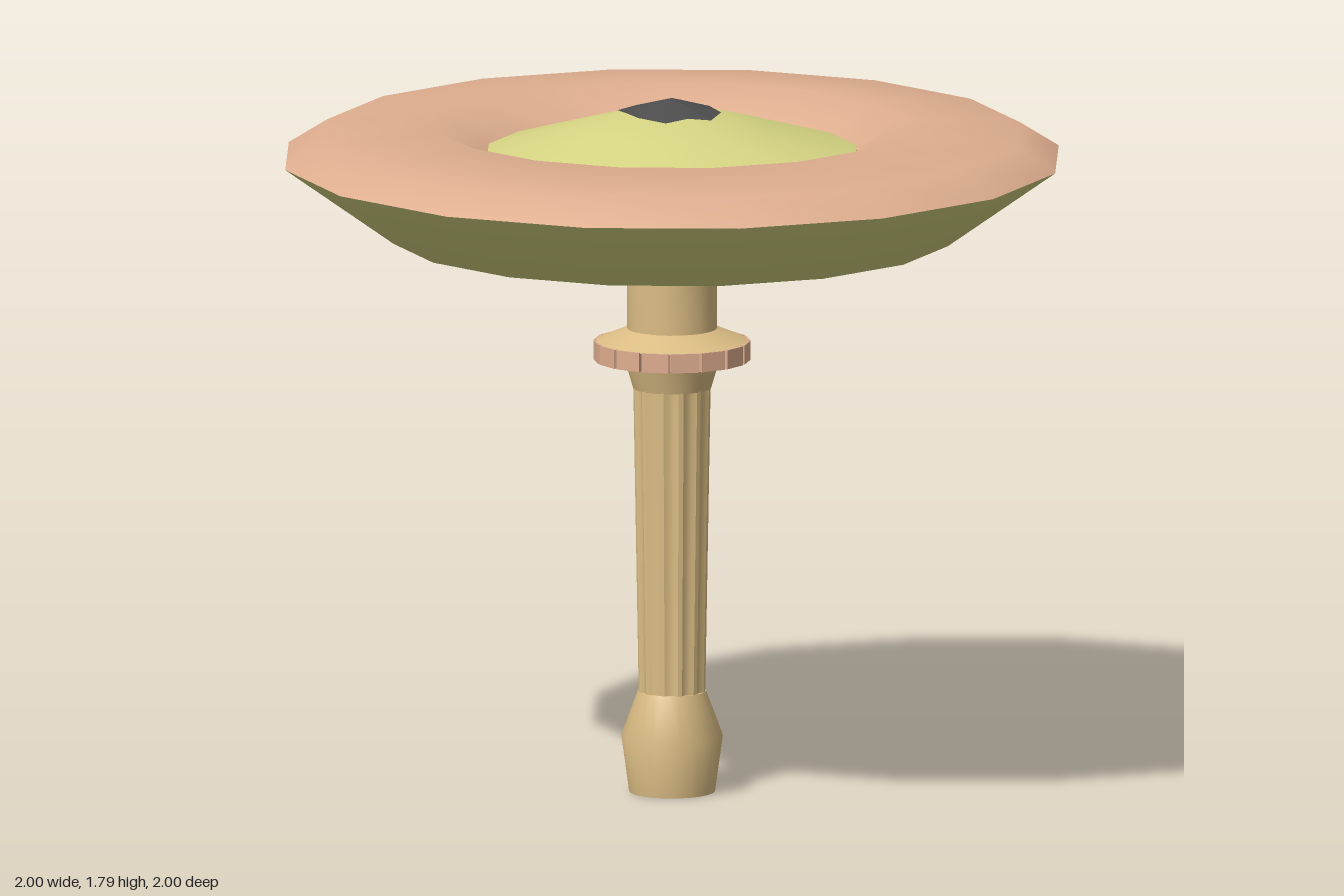
import * as THREE from 'three';
import { toCreasedNormals } from 'three/addons/utils/BufferGeometryUtils.js';

const mat = (name, color) => {
  const m = new THREE.MeshStandardMaterial({ color });
  m.name = name;
  return m;
};

// Revolved part; the profile is a list of [radius, height], outer surface running upward
function lathe(profile, sides, crease) {
  const g = new THREE.LatheGeometry(profile.map(([r, y]) => new THREE.Vector2(r, y)), sides);
  return crease ? toCreasedNormals(g, crease) : g;
}

export function createModel() {
  const model = new THREE.Group();
  const tan = mat('tan wood', 0xdbbd84);
  const peach = mat('peach', 0xdfae8f);
  const green = mat('yellow green', 0xd6d583);
  const dark = mat('dark grey', 0x4d4d4d);

  const add = (name, geometry, material, parent = model) => {
    const mesh = new THREE.Mesh(geometry, material);
    mesh.name = name;
    parent.add(mesh);
    return mesh;
  };

  // Foot bulb
  add('foot', lathe([[0, 0], [0.11, 0], [0.13, 0.145], [0.087, 0.26], [0, 0.26]], 24, 0.6), tan);

  // Fluted shaft: every other pair of columns is pulled inward
  const shaft = new THREE.CylinderGeometry(0.1, 0.086, 0.8, 48, 1, true);
  const p = shaft.attributes.position;
  for (let i = 0; i < p.count; i++) {
    const k = (i % 49) % 4;
    if (k > 1) {
      p.setX(i, p.getX(i) * 0.93);
      p.setZ(i, p.getZ(i) * 0.93);
    }
  }
  shaft.translate(0, 0.65, 0);
  shaft.computeVertexNormals();
  add('flutedShaft', toCreasedNormals(shaft, 0.4), tan);

  // Flare under the band, and the sloped collar and neck above it
  add('shaftFlare', lathe([[0, 1.045], [0.1, 1.045], [0.122, 1.12]], 24, 0.6), tan);
  add('collarAndNeck', lathe([[0.197, 1.165], [0.115, 1.2], [0.115, 1.36]], 24, 0.5), tan);

  // Band of small blocks round a core
  const band = new THREE.Group();
  band.name = 'band';
  model.add(band);
  const core = new THREE.CylinderGeometry(0.188, 0.188, 0.045, 32);
  add('bandCore', core, peach, band).position.y = 1.1425;
  const block = new THREE.BoxGeometry(0.07, 0.049, 0.03);
  for (let i = 0; i < 16; i++) {
    const a = (i / 16) * Math.PI * 2;
    const b = add('bandBlock', block, peach, band);
    b.position.set(Math.sin(a) * 0.182, 1.1425, Math.cos(a) * 0.182);
    b.rotation.y = a;
  }

  // Wide dish: underside, rounded rim and raised centre
  add('dishUnderside', lathe([[0, 1.333], [0.11, 1.335], [0.72, 1.44], [1, 1.64]], 16), green);
  add('dishRim', lathe([[1, 1.64], [0.9, 1.703], [0.6, 1.724], [0.46, 1.645]], 16), peach);
  add('dishCentre', lathe([[0.478, 1.645], [0.478, 1.657], [0.25, 1.722], [0, 1.788]], 16, 0.5), green);

  // Ragged dark tip, laid just above the centre cone
  const outline = [[-0.13, -0.06], [-0.12, 0.02], [-0.1, 0.08], [-0.04, 0.14], [0.02, 0.12], [0.08, 0.12],
    [0.12, 0.04], [0.1, -0.02], [0.09, -0.11], [0.02, -0.11], [-0.04, -0.125], [-0.08, -0.07]];
  const pos = [];
  const lift = ([x, z]) => [x, 1.795 - 0.27 * Math.hypot(x, z), z];
  outline.forEach((a, i) => {
    const b = outline[(i + 1) % outline.length];
    pos.push(0, 1.795, 0, ...lift(a), ...lift(b));
  });
  const tip = new THREE.BufferGeometry();
  tip.setAttribute('position', new THREE.Float32BufferAttribute(pos, 3));
  tip.computeVertexNormals();
  add('darkTip', tip, dark);

  return model;
}
